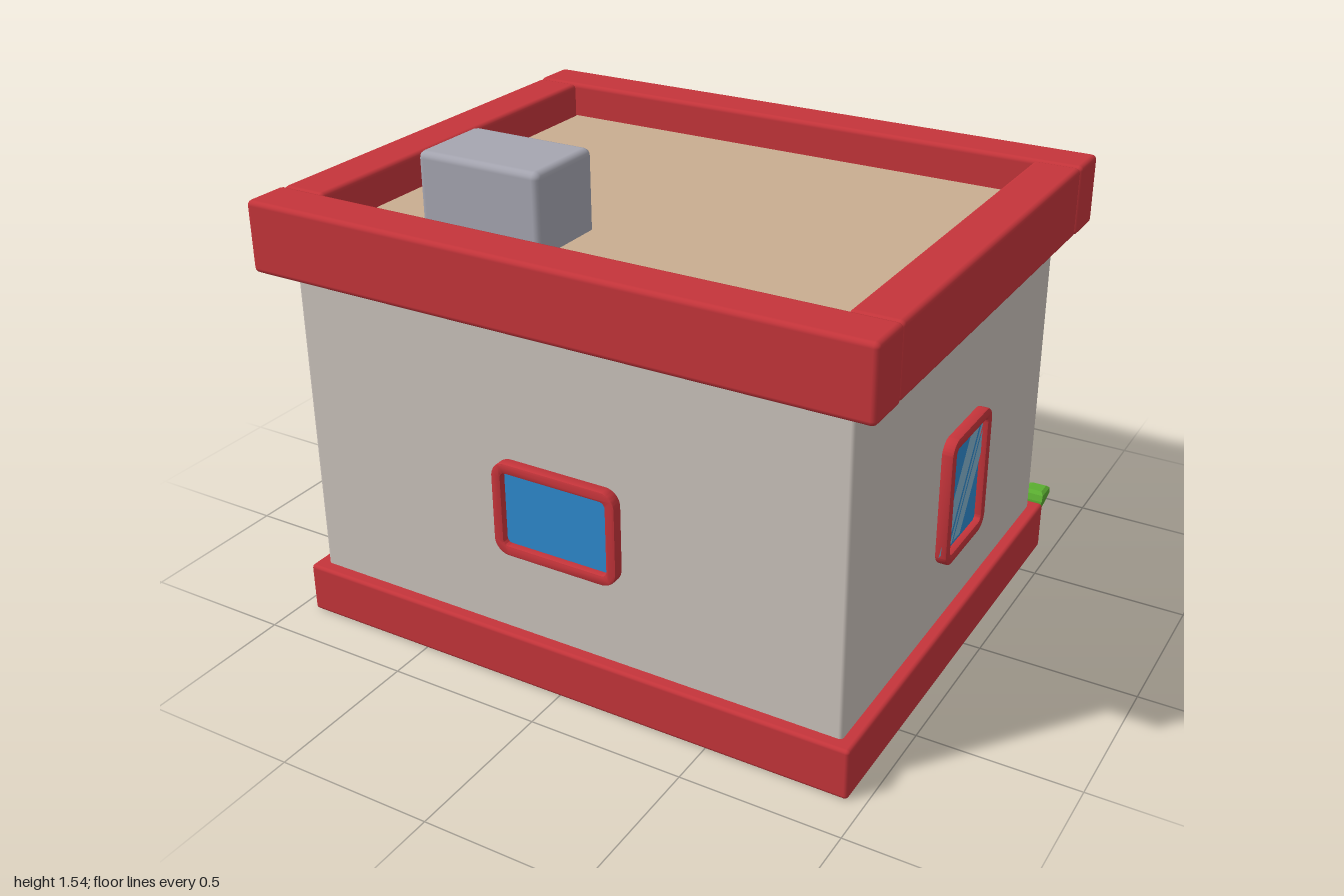
import * as THREE from 'three';
import { toCreasedNormals } from 'three/addons/utils/BufferGeometryUtils.js';
import { RoundedBoxGeometry } from 'three/addons/geometries/RoundedBoxGeometry.js';

const mat = (name, color) => {
  const m = new THREE.MeshStandardMaterial({ color });
  m.name = name;
  return m;
};

export function createModel() {
  const red = mat('red trim', 0xc4343a);
  const wall = mat('wall plaster', 0xc9c1ba);
  const tan = mat('roof tan', 0xc9ad90);
  const grey = mat('grey', 0xa5a5b0);
  const blue = mat('glass blue', 0x2d88cc);
  const shine = mat('glass shine', 0x82b1cd);
  const green = mat('plant green', 0x5aad30);
  const brown = mat('door brown', 0xa9621f);

  const model = new THREE.Group();
  model.name = 'building';

  const add = (parent, name, geometry, material, x = 0, y = 0, z = 0) => {
    const mesh = new THREE.Mesh(geometry, material);
    mesh.name = name;
    mesh.position.set(x, y, z);
    parent.add(mesh);
    return mesh;
  };

  // softened box given by its extents on each axis
  const block = (name, material, [x0, x1], [y0, y1], [z0, z1], r = 0.012) =>
    add(model, name, new RoundedBoxGeometry(x1 - x0, y1 - y0, z1 - z0, 2, r), material,
      (x0 + x1) / 2, (y0 + y1) / 2, (z0 + z1) / 2);

  const roundRect = (w, h, r, target = new THREE.Shape()) => {
    const x = w / 2, y = h / 2;
    target.moveTo(-x + r, -y);
    target.lineTo(x - r, -y);
    target.absarc(x - r, -y + r, r, -Math.PI / 2, 0, false);
    target.lineTo(x, y - r);
    target.absarc(x - r, y - r, r, 0, Math.PI / 2, false);
    target.lineTo(-x + r, y);
    target.absarc(-x + r, y - r, r, Math.PI / 2, Math.PI, false);
    target.lineTo(-x, -y + r);
    target.absarc(-x + r, -y + r, r, Math.PI, Math.PI * 1.5, false);
    return target;
  };

  // framed window facing local +z; each stripe is [start, end] along its lower edge
  const makeWindow = (name, w, h, r, pos, turn, stripes = [], sh = 0, lean = 0) => {
    const g = new THREE.Group();
    g.name = name;
    g.position.set(...pos);
    g.rotation.y = turn;
    const t = 0.033, b = 0.006;
    const outline = roundRect(w - 2 * b, h - 2 * b, r - b);
    const inner = r - t > 0.012 ? r - t : 0.012;
    outline.holes.push(roundRect(w - 2 * t + 2 * b, h - 2 * t + 2 * b, inner + b, new THREE.Path()));
    const frame = new THREE.ExtrudeGeometry(outline, {
      depth: 0.026, bevelSize: b, bevelThickness: b, bevelSegments: 2, curveSegments: 8,
    });
    add(g, 'windowFrame', toCreasedNormals(frame, 0.7), red, 0, 0, 0.004);
    add(g, 'windowGlass', new THREE.ShapeGeometry(roundRect(w - 2 * t + 0.02, h - 2 * t + 0.02, inner + 0.01)),
      blue, 0, 0, 0.014);
    for (const [a, c] of stripes) {
      const s = new THREE.Shape();
      s.moveTo(a, -sh / 2);
      s.lineTo(c, -sh / 2);
      s.lineTo(c + lean, sh / 2);
      s.lineTo(a + lean, sh / 2);
      const m = add(g, 'glassShine', new THREE.ShapeGeometry(s), shine, 0, 0, 0.019);
      m.material.side = THREE.DoubleSide;
    }
    model.add(g);
    return g;
  };

  // main body
  block('base', red, [-0.95, 0.95], [0, 0.165], [-0.68, 0.86]);
  block('walls', wall, [-0.91, 0.91], [0.12, 1.22], [-0.645, 0.82]);
  add(model, 'roof', new THREE.BoxGeometry(1.75, 0.1, 1.38), tan, 0, 1.24, 0.085);

  // parapet
  block('parapetFront', red, [-1, 1], [1.18, 1.405], [0.752, 0.905], 0.016);
  block('parapetBack', red, [-1, 1], [1.18, 1.405], [-0.73, -0.58], 0.016);
  for (const s of [-1, 1])
    block('parapetSide', red, s < 0 ? [-0.997, -0.845] : [0.845, 0.997], [1.18, 1.403], [-0.583, 0.753], 0.016);

  // rooftop unit with louvres on its rear
  block('roofUnit', grey, [-0.59, -0.17], [1.27, 1.54], [0.34, 0.62], 0.022);
  for (let i = 0; i < 4; i++) {
    const slat = add(model, 'roofUnitLouvre', new THREE.CapsuleGeometry(0.009, 0.2, 3, 8), grey,
      -0.38, 1.355 + i * 0.045, 0.338);
    slat.rotation.z = Math.PI / 2;
  }

  // front and side windows
  makeWindow('frontWindow', 0.42, 0.305, 0.05, [0, 0.592, 0.82], 0);
  const sideShine = [[-0.175, -0.105], [-0.09, -0.072], [-0.062, -0.01]];
  for (const s of [-1, 1])
    makeWindow('sideWindow', 0.31, 0.42, 0.05, [s * 0.91, 0.59, 0.055], s * Math.PI / 2, sideShine, 0.32, 0.2);

  // windows beside the entrance
  const backShine = [[-0.17, -0.08], [-0.06, -0.035], [-0.005, 0.065]];
  for (const s of [-1, 1])
    makeWindow('entranceWindow', 0.475, 0.33, 0.055, [s * 0.64, 0.485, -0.645], Math.PI, backShine, 0.26, 0.12);

  // long window above the canopy, with two dividers
  const transom = makeWindow('transomWindow', 0.84, 0.15, 0.074, [0, 0.966, -0.645], Math.PI,
    [[-0.31, -0.26], [-0.24, -0.225], [-0.06, -0.01], [0.19, 0.24]], 0.08, 0.05);
  for (const x of [-0.135, 0.135])
    add(transom, 'transomDivider', new THREE.BoxGeometry(0.02, 0.1, 0.024), red, x, 0, 0.016);

  // entrance: door, frame, handle, pillars, canopy and steps
  const jamb = 0.036;
  for (const s of [-1, 1])
    block('doorJamb', red, s < 0 ? [-0.15 - jamb, -0.15] : [0.15, 0.15 + jamb], [0.16, 0.69], [-0.685, -0.64], 0.006);
  block('doorHead', red, [-0.186, 0.186], [0.652, 0.69], [-0.685, -0.64], 0.006);
  block('door', brown, [-0.15, 0.15], [0.165, 0.655], [-0.66, -0.63], 0.004);
  block('doorHandlePlate', grey, [-0.1, -0.065], [0.365, 0.455], [-0.672, -0.655], 0.006);
  block('doorHandle', grey, [-0.092, -0.073], [0.39, 0.43], [-0.695, -0.665], 0.006);
  for (const s of [-1, 1])
    block('pillar', wall, s < 0 ? [-0.305, -0.205] : [0.205, 0.305], [0.16, 0.73], [-0.745, -0.63], 0.006);
  block('canopy', red, [-0.348, 0.348], [0.715, 0.825], [-0.85, -0.63], 0.016);
  block('upperStep', grey, [-0.3, 0.3], [0.07, 0.168], [-0.808, -0.65]);
  block('lowerStep', grey, [-0.326, 0.326], [0, 0.082], [-0.905, -0.66]);

  // wall lamps
  for (const s of [-1, 1]) {
    const x = s * 0.69;
    block('wallLamp', grey, [x - 0.054, x + 0.054], [0.868, 1.018], [-0.694, -0.635], 0.018);
    block('wallLampFace', tan, [x - 0.027, x + 0.027], [0.895, 0.99], [-0.704, -0.68], 0.008);
  }

  // clusters of chunky four-sided shoots: x, z of foot, width, height, lean x, lean z
  const shoots = [
    [0.805, -0.728, 0.046, 0.2, 0, 0],
    [0.86, -0.785, 0.04, 0.147, 0.025, -0.025],
    [0.765, -0.815, 0.036, 0.125, -0.025, -0.035],
  ];
  for (const s of [-1, 1])
    for (const [x, z, w, h, lx, lz] of shoots) {
      const profile = [[0, 0], [0.6, 0], [1, 0.8], [0.9, 0.94], [0.6, 1], [0, 1]]
        .map(([r, y]) => new THREE.Vector2(r * w * Math.SQRT2, y * h));
      const geo = new THREE.LatheGeometry(profile, 4, Math.PI / 4);
      const p = geo.attributes.position;
      for (let i = 0; i < p.count; i++) {
        const k = p.getY(i) / h;
        p.setX(i, p.getX(i) + s * lx * k);
        p.setZ(i, p.getZ(i) + lz * k);
      }
      add(model, 'plantShoot', toCreasedNormals(geo, 0.2), green, s * x, 0, z);
    }

  return model;
}
